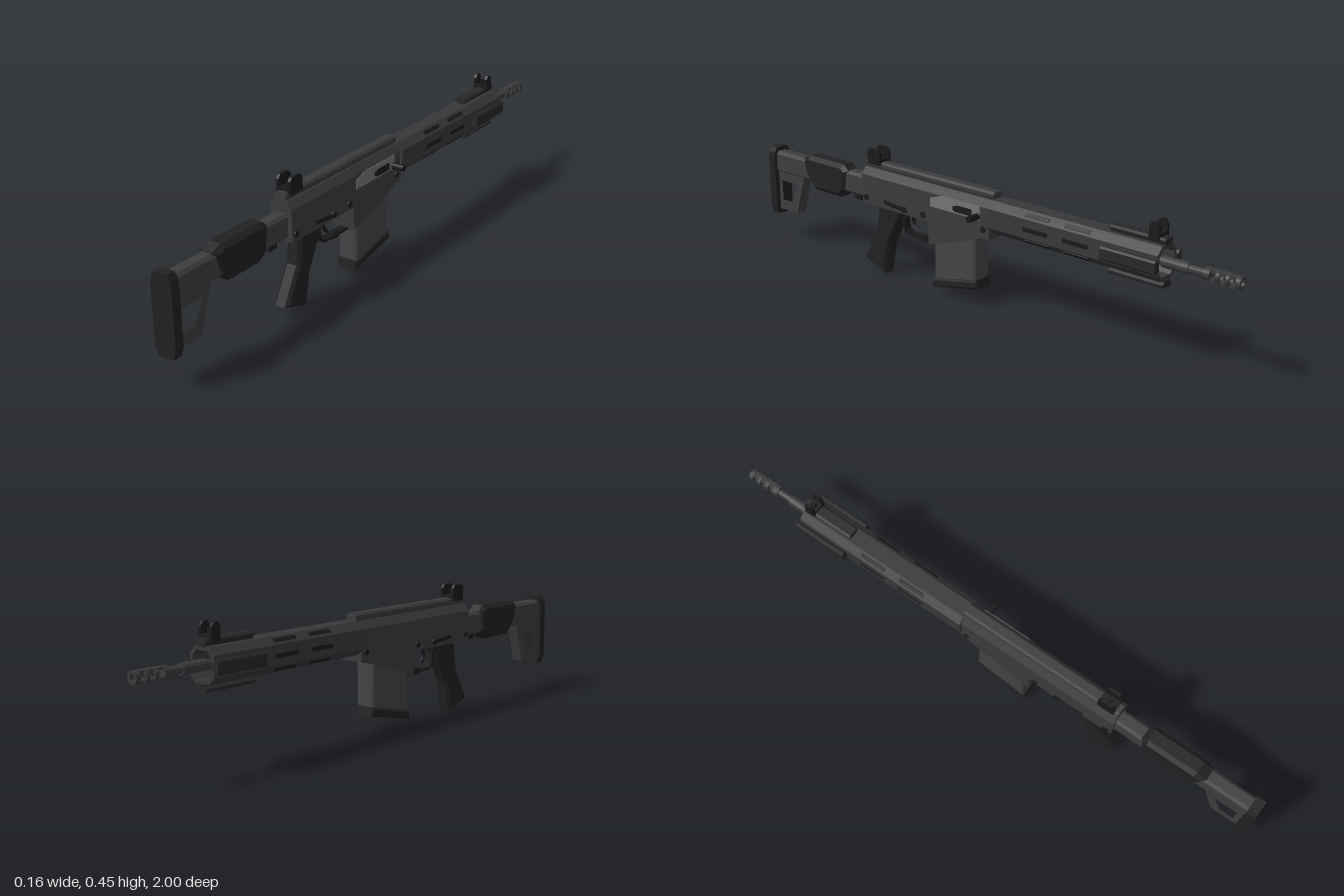
import * as THREE from 'three';

const mat = (name, color) => {
  const m = new THREE.MeshStandardMaterial({ color });
  m.name = name;
  m.flatShading = true;
  return m;
};

export function createModel() {
  const root = new THREE.Group();
  root.name = 'rifle';
  const gun = new THREE.Group();
  gun.name = 'rifleParts';
  gun.position.x = -0.008;
  root.add(gun);

  const body = mat('dark grey metal', 0x3b3b3b);
  const guard = mat('handguard grey', 0x383838);
  const magGrey = mat('magazine grey', 0x444444);
  const stockGrey = mat('stock grey', 0x3e3e3e);
  const rubber = mat('black polymer', 0x212121);
  const black = mat('black', 0x1a1a1a);
  const steel = mat('bolt steel', 0x757575);
  const railMat = mat('rail black', 0x282828);

  const add = (name, geo, m) => {
    const mesh = new THREE.Mesh(geo, m);
    mesh.name = name;
    gun.add(mesh);
    return mesh;
  };
  const poly = (pts, hole) => {
    const s = new THREE.Shape(pts.map(p => new THREE.Vector2(...p)));
    if (hole) s.holes.push(new THREE.Path(hole.map(p => new THREE.Vector2(...p))));
    return s;
  };
  // side profile given as [z, y], extruded across x
  const side = (name, pts, x0, x1, m, bevel = 0, hole) => {
    const g = new THREE.ExtrudeGeometry(poly(pts, hole), {
      depth: x1 - x0 - 2 * bevel, bevelEnabled: bevel > 0, bevelSize: bevel,
      bevelThickness: bevel, bevelOffset: -bevel, bevelSegments: 1,
    });
    g.rotateY(-Math.PI / 2);
    g.translate(x1 - bevel, 0, 0);
    return add(name, g, m);
  };
  // cross-section given as [x, y], extruded along z
  const prism = (name, pts, z0, z1, m, hole) => {
    const g = new THREE.ExtrudeGeometry(poly(pts, hole), { depth: z1 - z0, bevelEnabled: false, curveSegments: 8 });
    g.translate(0, 0, z0);
    return add(name, g, m);
  };
  const box = (name, x, y, z, w, h, d, m) => {
    const b = add(name, new THREE.BoxGeometry(w, h, d), m);
    b.position.set(x, y, z);
    return b;
  };
  const rod = (name, r, x0, x1, y, z, m) => {
    const g = new THREE.CylinderGeometry(r, r, x1 - x0, 12).rotateZ(Math.PI / 2);
    g.translate((x0 + x1) / 2, y, z);
    return add(name, g, m);
  };
  const barrelRod = (name, r, z0, z1, m) => {
    const g = new THREE.CylinderGeometry(r, r, z1 - z0, 16).rotateX(Math.PI / 2);
    g.translate(0, 0.338, (z0 + z1) / 2);
    return add(name, g, m);
  };
  const octagon = (w, y0, y1, c, cy = c) => [
    [-w + c, y0], [w - c, y0], [w, y0 + cy], [w, y1 - cy], [w - c, y1], [-w + c, y1], [-w, y1 - cy], [-w, y0 + cy]];

  // Receiver, its rail and the magazine well
  prism('receiver', [[-0.041, 0.26], [0.041, 0.26], [0.041, 0.365], [0.023, 0.39], [-0.023, 0.39], [-0.041, 0.365]], -0.105, 0.485, body);
  prism('receiverRail', [[-0.017, 0.388], [0.017, 0.388], [0.021, 0.398], [0.021, 0.408], [0.014, 0.415], [-0.014, 0.415], [-0.021, 0.408], [-0.021, 0.398]], -0.105, 0.485, body);
  side('magazineWell', [[0.17, 0.262], [0.165, 0.18], [-0.04, 0.245], [-0.104, 0.275], [-0.104, 0.31], [0.17, 0.31]], -0.042, 0.042, body);

  // Bolt window with slot and charging handle
  side('ejectionPort', [[0.155, 0.318], [-0.065, 0.318], [-0.065, 0.365], [0.105, 0.365], [0.155, 0.348]], 0.04, 0.043, steel);
  side('ejectionSlot', [[0.052, 0.33], [0.042, 0.324], [-0.03, 0.324], [-0.03, 0.348], [0.03, 0.348], [0.052, 0.342]], 0.042, 0.045, black);
  rod('chargingHandle', 0.011, 0.035, 0.087, 0.33, -0.055, black);

  // Pins and fire selector on both sides
  for (const s of [-1, 1]) {
    for (const [z, y] of [[0.19, 0.28], [-0.08, 0.29], [0.465, 0.283]])
      rod('pin', 0.011, s * 0.043 - 0.002, s * 0.043 + 0.002, y, z, black);
    rod('selectorPivot', 0.01, s * 0.044 - 0.004, s * 0.044 + 0.004, 0.278, 0.28, black);
    const lever = box('selectorLever', s * 0.045, 0.281, 0.32, 0.006, 0.012, 0.11, black);
    lever.rotation.x = -0.1;
  }

  // Magazine with slanted floor plate
  side('magazine', [[0.145, 0.22], [0.145, 0.055], [-0.038, 0.095], [-0.038, 0.27]], -0.036, 0.036, magGrey, 0.006);
  side('magazineBase', [[0.152, 0.058], [0.156, 0.026], [-0.048, 0.07], [-0.044, 0.1]], -0.039, 0.039, rubber, 0.006);

  // Grip, trigger and trigger guard
  side('grip', [[0.425, 0.265], [0.44, 0.16], [0.503, 0.042], [0.4, 0.006], [0.378, 0.12], [0.305, 0.265]], -0.027, 0.027, rubber, 0.01);
  const tubeThrough = (name, pts, r, m) => add(name, new THREE.TubeGeometry(
    new THREE.CatmullRomCurve3(pts.map(([z, y]) => new THREE.Vector3(0, y, z))), 16, r, 6), m);
  tubeThrough('trigger', [[0.262, 0.265], [0.275, 0.235], [0.272, 0.215], [0.256, 0.2]], 0.006, black);
  side('triggerGuard', [[0.318, 0.235], [0.312, 0.19], [0.285, 0.176], [0.16, 0.174], [0.16, 0.182], [0.283, 0.184], [0.304, 0.196], [0.308, 0.235]], -0.014, 0.014, black);
  box('magazineRelease', 0, 0.178, 0.225, 0.02, 0.02, 0.035, black);

  // Handguard shell, open at the muzzle end
  prism('handguard', octagon(0.05, 0.282, 0.392, 0.023), -0.75, -0.1, guard, octagon(0.039, 0.294, 0.38, 0.018));
  for (const s of [-1, 1]) for (const z of [-0.3, -0.455]) for (const [x, y, a] of [[0.05, 0.335, 0], [0.0388, 0.3805, 0.785], [0.0388, 0.2935, -0.785]]) {
    const slot = box('handguardSlot', s * x, y, z, 0.004, 0.014, 0.095, black);
    slot.rotation.z = s * a;
  }

  // Four short accessory rails round the handguard front
  for (let i = 0; i < 4; i++) {
    const g = new THREE.ExtrudeGeometry(poly([[-0.013, 0], [0.013, 0], [0.013, 0.006], [0.022, 0.013], [0.022, 0.019], [0.016, 0.024], [-0.016, 0.024], [-0.022, 0.019], [-0.022, 0.013], [-0.013, 0.006]]), { depth: 0.195, bevelEnabled: false });
    g.translate(0, i % 2 ? 0.047 : 0.053, -0.755);
    g.rotateZ(i * Math.PI / 2);
    g.translate(0, 0.337, 0);
    add('accessoryRail', g, railMat);
  }

  // Barrel and ported muzzle brake
  barrelRod('barrel', 0.013, -0.9, -0.1, body);
  barrelRod('gasBlock', 0.018, -0.83, -0.74, body);
  const ring = (z0, z1) => {
    const s = new THREE.Shape().absarc(0, 0.338, 0.02, 0, Math.PI * 2);
    s.holes.push(new THREE.Path().absarc(0, 0.338, 0.011, 0, Math.PI * 2, true));
    const g = new THREE.ExtrudeGeometry(s, { depth: z1 - z0, bevelEnabled: false, curveSegments: 8 });
    g.translate(0, 0, z0);
    add('brakeRing', g, body);
  };
  for (const [a, b] of [[-1, -0.985], [-0.965, -0.953], [-0.933, -0.921], [-0.901, -0.88]]) ring(a, b);
  for (const s of [-1, 1]) box('brakeBar', 0, 0.338 + s * 0.014, -0.94, 0.022, 0.008, 0.115, body);

  // Flip-up sights
  for (const [z, d, rear] of [[-0.718, 0.034, false], [0.44, 0.06, true]]) {
    box('sightBase', 0, 0.414, z, 0.054, 0.02, d, black);
    for (const s of [-1, 1])
      side('sightEar', [[z - d / 2, 0.41], [z + d / 2, 0.41], [z + d / 2, 0.448], [z + d / 2 - 0.01, 0.46], [z - d / 2 + 0.01, 0.46], [z - d / 2, 0.448]],
        s * 0.022 - 0.005, s * 0.022 + 0.005, black);
    box(rear ? 'rearAperture' : 'frontPost', 0, 0.43, z, 0.009, 0.025, 0.012, black);
  }

  // Stock tube, cheek rest, skeleton frame and butt pad
  prism('stockTube', octagon(0.026, 0.27, 0.352, 0.01), 0.48, 0.972, stockGrey);
  box('stockLatch', 0, 0.262, 0.54, 0.025, 0.02, 0.035, black);
  side('cheekRest', [[0.815, 0.355], [0.78, 0.37], [0.6, 0.37], [0.578, 0.35], [0.588, 0.275], [0.62, 0.246], [0.755, 0.246], [0.8, 0.295]], -0.034, 0.034, rubber, 0.014);
  side('stockFrame', [[0.972, 0.125], [0.872, 0.125], [0.825, 0.275], [0.972, 0.275]], -0.02, 0.02, stockGrey, 0,
    [[0.95, 0.165], [0.9, 0.165], [0.865, 0.24], [0.95, 0.24]]);
  prism('buttPad', [[-0.027, 0.106], [0.027, 0.106], [0.038, 0.138], [0.038, 0.325], [0.034, 0.35], [0.024, 0.366], [-0.024, 0.366], [-0.034, 0.35], [-0.038, 0.325], [-0.038, 0.138]], 0.968, 1, rubber);

  return root;
}
